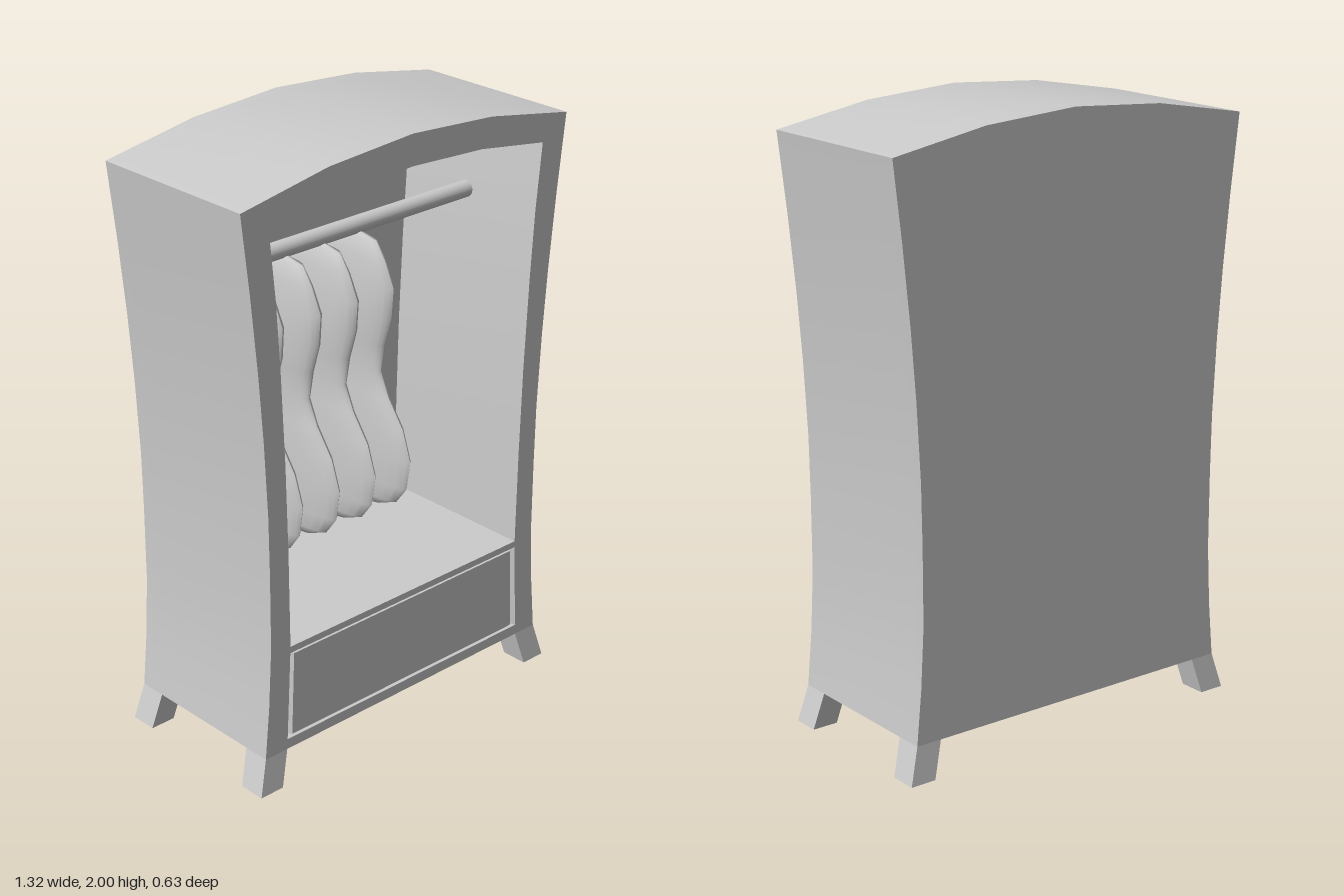
import * as THREE from 'three';
import { toCreasedNormals } from 'three/addons/utils/BufferGeometryUtils.js';

const grey = new THREE.MeshStandardMaterial({ color: 0xcccccc });
const greyBoth = new THREE.MeshStandardMaterial({ color: 0xcccccc, side: THREE.DoubleSide });

function mesh(name, geometry, material = grey) {
  const m = new THREE.Mesh(geometry, material);
  m.name = name;
  return m;
}

// Closed symmetric outline from its right half, listed bottom to top
// (a point on x = 0 is used once).
function mirrored(half) {
  const left = half.filter(([x]) => x > 0).reverse().map(([x, y]) => [-x, y]);
  return [...half, ...left].map(([x, y]) => new THREE.Vector2(x, y));
}

function extrude(outline, holes, z0, z1) {
  const shape = new THREE.Shape(outline);
  for (const h of holes) shape.holes.push(new THREE.Path(h));
  const g = new THREE.ExtrudeGeometry(shape, { depth: z1 - z0, bevelEnabled: false });
  return toCreasedNormals(g.translate(0, 0, z0), 0.35);
}

// Strip joining four-sided loops of [x, y, z] points
function loopStrip(loops) {
  const pos = [];
  for (let i = 0; i < loops.length - 1; i++) {
    const a = loops[i], b = loops[i + 1], n = a.length;
    for (let j = 0; j < n; j++) {
      const k = (j + 1) % n;
      pos.push(...a[j], ...a[k], ...b[k], ...a[j], ...b[k], ...b[j]);
    }
  }
  const g = new THREE.BufferGeometry();
  g.setAttribute('position', new THREE.Float32BufferAttribute(pos, 3));
  g.computeVertexNormals();
  return g;
}

// Splayed foot: a box whose lower end is pushed outwards
function footGeometry() {
  const g = new THREE.BoxGeometry(0.088, 0.12, 0.092).toNonIndexed();
  const p = g.attributes.position;
  for (let i = 0; i < p.count; i++) {
    if (p.getY(i) < 0) p.setXYZ(i, p.getX(i) + 0.033, p.getY(i), p.getZ(i) + 0.015);
  }
  g.computeVertexNormals();
  return g;
}

// Hanging garment: rows of [height, half thickness, half width]
function garmentGeometry() {
  const rows = [
    [0.705, 0.0001, 0.0001], [0.71, 0.02, 0.12], [0.74, 0.031, 0.19], [0.8, 0.035, 0.235],
    [0.9, 0.038, 0.25], [1.0, 0.037, 0.215], [1.09, 0.033, 0.15], [1.17, 0.028, 0.115],
    [1.26, 0.037, 0.13], [1.36, 0.043, 0.16], [1.46, 0.041, 0.168], [1.54, 0.033, 0.13],
    [1.595, 0.022, 0.09], [1.61, 0.0001, 0.0001],
  ];
  const g = new THREE.LatheGeometry(rows.map(r => new THREE.Vector2(1, r[0])), 24);
  const p = g.attributes.position;
  for (let i = 0; i < p.count; i++) {
    const [y, t, w] = rows[i % rows.length];
    p.setXYZ(i, p.getX(i) * t, y, p.getZ(i) * w);
  }
  g.computeVertexNormals();
  return g;
}

export function createModel() {
  const group = new THREE.Group();
  group.name = 'wardrobe';

  // Cabinet with waisted sides and arched top
  const outline = mirrored([
    [0.6, 0.12], [0.583, 0.3], [0.572, 0.5], [0.572, 0.75], [0.575, 0.95], [0.588, 1.2],
    [0.605, 1.42], [0.63, 1.67], [0.66, 1.92], [0.33, 1.978], [0, 2],
  ]);
  const opening = mirrored([
    [0.494, 0.48], [0.498, 0.8], [0.506, 1.1], [0.52, 1.4], [0.535, 1.63], [0.557, 1.845],
    [0.29, 1.885], [0, 1.9],
  ]);
  const drawerHole = mirrored([[0.51, 0.155], [0.495, 0.458]]);
  group.add(mesh('cabinetFrame', extrude(outline, [opening, drawerHole], -0.27, 0.3)));
  group.add(mesh('backPanel', extrude(outline, [], -0.3, -0.27)));

  // Drawer front with a grooved border
  const face = mirrored([[0.488, 0.163], [0.477, 0.449]]);
  const middle = mirrored([[0.498, 0.159], [0.486, 0.453]]);
  const at = (pts, z) => pts.map(p => [p.x, p.y, z]);
  group.add(mesh('drawerGroove',
    loopStrip([at(drawerHole, 0.3), at(middle, 0.275), at(face, 0.297)]), greyBoth));
  group.add(mesh('drawerFront', extrude(face, [], 0.26, 0.297)));

  // Four splayed feet
  const foot = footGeometry();
  for (const sx of [-1, 1]) {
    for (const sz of [-1, 1]) {
      const f = mesh('foot', foot);
      f.scale.set(sx, 1, sz);
      f.position.set(sx * 0.556, 0.06, sz * 0.254);
      group.add(f);
    }
  }

  // Hanging rail
  const rail = mesh('hangingRail', new THREE.CylinderGeometry(0.028, 0.028, 1.07, 20));
  rail.rotation.z = Math.PI / 2;
  rail.position.y = 1.623;
  group.add(rail);

  // Row of clothes on the rail
  const garment = garmentGeometry();
  for (let i = 0; i < 4; i++) {
    const g = mesh('garment', garment);
    g.position.x = -0.395 + i * 0.15;
    group.add(g);
  }
  return group;
}
